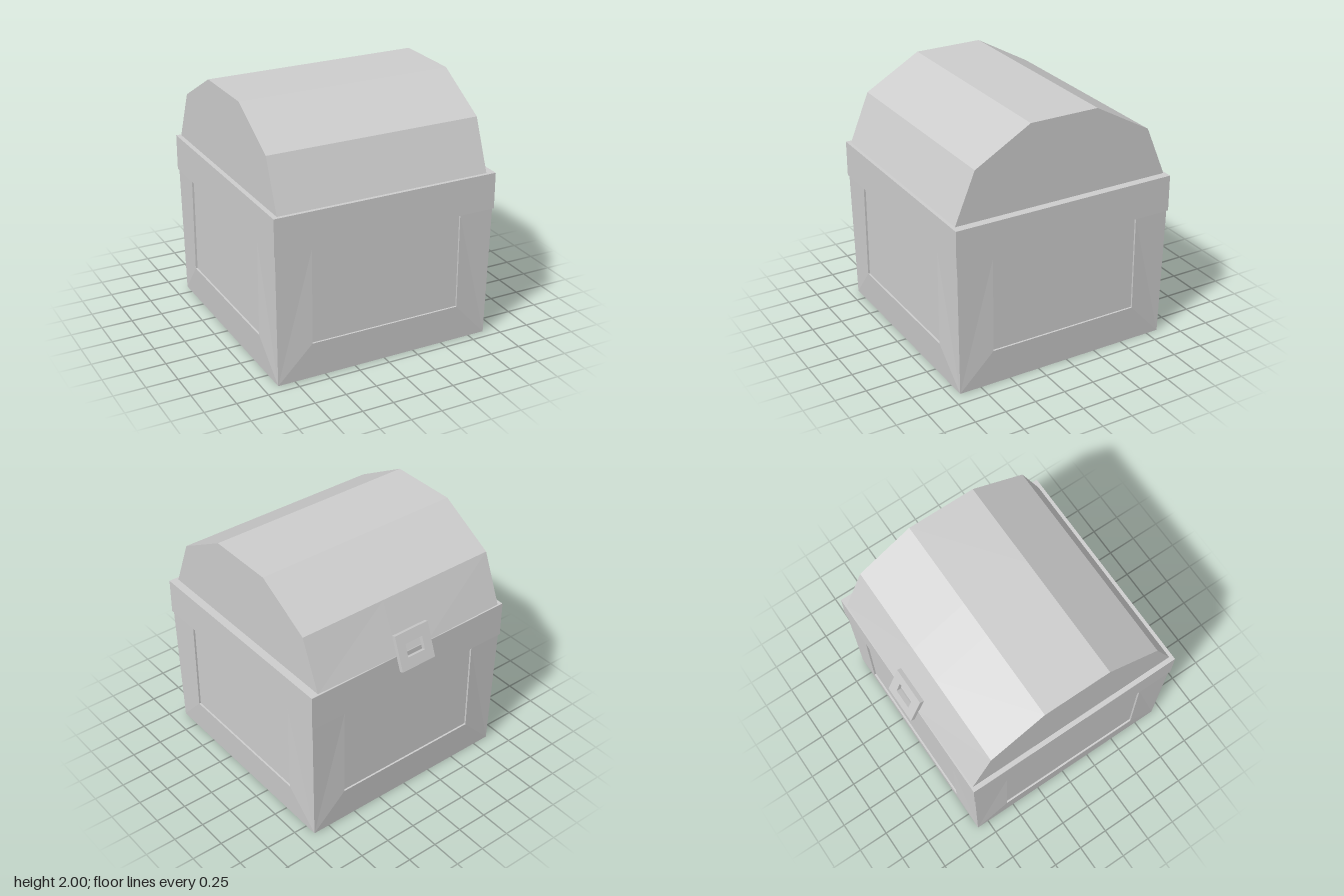
import * as THREE from 'three';

const grey = new THREE.MeshStandardMaterial({ color: 0xcccccc });
grey.name = 'plain grey';

// Flat-shaded mesh from a list of counter-clockwise polygons
function polyMesh(name, polys) {
  const pos = [];
  for (const p of polys) {
    for (let i = 1; i < p.length - 1; i++) pos.push(...p[0], ...p[i], ...p[i + 1]);
  }
  const geo = new THREE.BufferGeometry();
  geo.setAttribute('position', new THREE.Float32BufferAttribute(pos, 3));
  geo.computeVertexNormals();
  const mesh = new THREE.Mesh(geo, grey);
  mesh.name = name;
  return mesh;
}

const RIM_Y = 1.06, TOP_Y = 1.35;
const BAND = 0.9125, FOOT = 0.887, CORNER = 0.903;

// One wall of the box, facing +z: top band, sloping frame and sunken panel
function wall(name) {
  const loop = z => [[-0.617, 0.295, z], [0.617, 0.295, z], [0.617, RIM_Y, z], [-0.617, RIM_Y, z]];
  const rim = loop(0.909), panel = loop(0.894);
  const foot = [[-FOOT, 0, FOOT], [FOOT, 0, FOOT]];
  const corner = [[-CORNER, RIM_Y, CORNER], [CORNER, RIM_Y, CORNER]];
  const band = [[-BAND, RIM_Y, BAND], [BAND, RIM_Y, BAND]];
  const polys = [
    [...band, [BAND, TOP_Y, BAND], [-BAND, TOP_Y, BAND]],
    [corner[0], corner[1], band[1], band[0]],
    [foot[0], foot[1], rim[1], rim[0]],
    [foot[0], rim[0], rim[3], corner[0]],
    [foot[1], corner[1], rim[2], rim[1]],
    panel,
  ];
  for (let i = 0; i < 4; i++) {
    const j = (i + 1) % 4;
    polys.push([rim[i], rim[j], panel[j], panel[i]]);
  }
  return polyMesh(name, polys);
}

function box() {
  const g = new THREE.Group();
  g.name = 'box';
  ['frontWall', 'leftWall', 'backWall', 'rightWall'].forEach((name, i) => {
    const w = wall(name);
    w.rotation.y = i * Math.PI / 2;
    g.add(w);
  });
  const b = BAND, f = FOOT;
  g.add(polyMesh('boxTop', [[[-b, TOP_Y, b], [b, TOP_Y, b], [b, TOP_Y, -b], [-b, TOP_Y, -b]]]));
  g.add(polyMesh('boxBottom', [[[-f, 0, -f], [f, 0, -f], [f, 0, f], [-f, 0, f]]]));
  g.position.z = 0.0375;
  return g;
}

// Faceted lid: cross-sections along x, the lower back edge bowed out behind the latch
function lid() {
  const sections = [[-0.875, -0.86], [-0.16, -0.872], [0.13, -0.872], [0.848, -0.86]]
    .map(([x, backZ]) => [
      [0.922, TOP_Y], [0.76, 1.745], [0.313, 2], [-0.243, 2], [-0.695, 1.745], [backZ, TOP_Y],
    ].map(([z, y]) => [x, y, z]));
  const polys = [sections[0], [...sections[3]].reverse()];
  for (let s = 0; s < 3; s++) {
    const a = sections[s], b = sections[s + 1];
    for (let i = 0; i < 5; i++) polys.push([a[i], b[i], b[i + 1], a[i + 1]]);
  }
  return polyMesh('lid', polys);
}

// Tilted latch plate with a rectangular keyhole
function latch() {
  const rect = (Type, w, h) => new Type([
    [-w, -h], [w, -h], [w, h], [-w, h],
  ].map(([x, y]) => new THREE.Vector2(x / 2, y / 2)));
  const shape = rect(THREE.Shape, 0.31, 0.286);
  shape.holes.push(rect(THREE.Path, 0.16, 0.107));
  const geo = new THREE.ExtrudeGeometry(shape, { depth: 0.035, bevelEnabled: false });
  geo.translate(0, 0, -0.0175);
  const mesh = new THREE.Mesh(geo, grey);
  mesh.name = 'latch';
  mesh.rotation.x = 0.36;
  mesh.position.set(-0.015, 1.372, -0.88);
  return mesh;
}

export function createModel() {
  const model = new THREE.Group();
  model.name = 'chest';
  model.add(box(), lid(), latch());
  return model;
}
